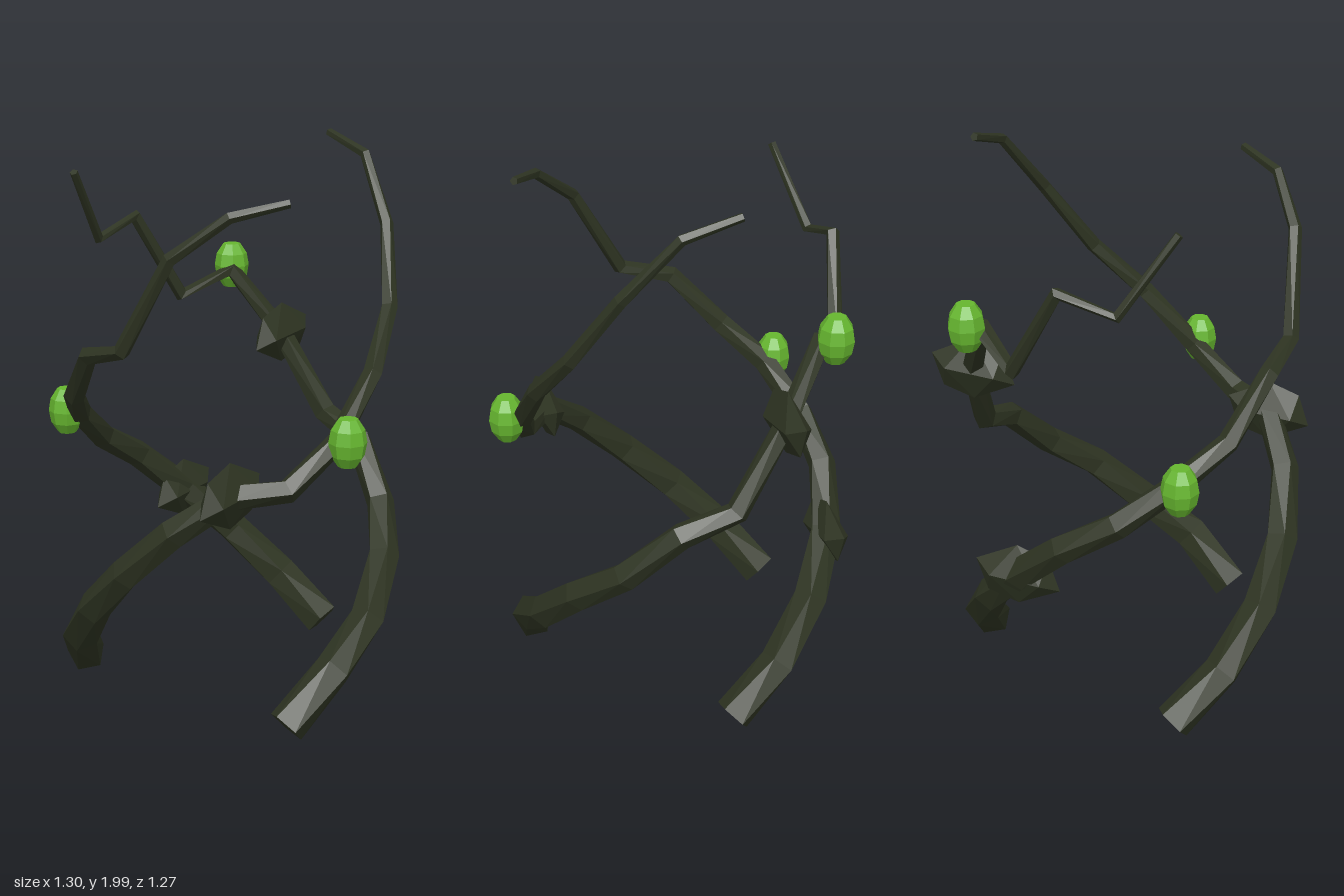
import * as THREE from 'three';
import { ConvexGeometry } from 'three/addons/geometries/ConvexGeometry.js';

const SIDES = 5;
const CENTRE = new THREE.Vector3(-0.03, 0, -0.03);
const RING = 0.56;

// Each vine climbs in 20 degree steps round a ring; heights are per step
const VINES = [
  { name: 'firstVine', start: 0, knot: 3, bud: 6,
    heights: [0.06, 0.22, 0.4, 0.58, 0.75, 0.87, 1.01, 1.13, 1.32, 1.37, 1.7, 1.84, 1.88] },
  { name: 'secondVine', start: 120, knot: 5, bud: 7,
    heights: [0.06, 0.22, 0.4, 0.585, 0.77, 0.91, 0.92, 1.06, 1.26, 1.45, 1.71, 1.93, 1.99] },
  { name: 'thirdVine', start: 240, knot: 7, bud: 8,
    heights: [0.06, 0.23, 0.36, 0.53, 0.67, 0.85, 0.92, 1.21, 1.45, 1.36, 1.68, 1.62, 1.89] },
];

const outward = (deg) => {
  const a = THREE.MathUtils.degToRad(deg);
  return new THREE.Vector3(Math.cos(a), 0, -Math.sin(a));
};

function flat(geometry) {
  const g = geometry.index ? geometry.toNonIndexed() : geometry;
  g.computeVertexNormals();
  return g;
}

// Tapered five-sided stem lofted through the path, with closed ends
function stemGeometry(points, r0, r1) {
  const pos = [], index = [], last = points.length - 1;
  points.forEach((p, i) => {
    const before = points[Math.max(i - 1, 0)], after = points[Math.min(i + 1, last)];
    const t = after.clone().sub(before).normalize();
    const n = p.clone().sub(CENTRE).setY(0);
    n.addScaledVector(t, -n.dot(t)).normalize();
    const b = t.clone().cross(n);
    const r = THREE.MathUtils.lerp(r0, r1, i / last);
    for (let j = 0; j < SIDES; j++) {
      const a = (j / SIDES) * Math.PI * 2;
      const v = p.clone().addScaledVector(n, r * Math.cos(a)).addScaledVector(b, r * Math.sin(a));
      pos.push(v.x, v.y, v.z);
    }
  });
  for (let i = 0; i < last; i++) {
    for (let j = 0; j < SIDES; j++) {
      const k = (j + 1) % SIDES;
      const a = i * SIDES + j, b = i * SIDES + k, c = b + SIDES, d = a + SIDES;
      index.push(a, b, d, b, c, d);
    }
  }
  const end = last * SIDES;
  for (let j = 1; j < SIDES - 1; j++) {
    index.push(0, j + 1, j, end, end + j, end + j + 1);
  }
  const g = new THREE.BufferGeometry();
  g.setAttribute('position', new THREE.Float32BufferAttribute(pos, 3));
  g.setIndex(index);
  return flat(g);
}

// Flattened, faceted knot: skewed hexagon with a ridge front and back
function knotGeometry() {
  const rim = [[-0.152, -0.045], [-0.112, 0.075], [0, 0.118], [0.152, 0.045], [0.112, -0.075], [0, -0.114]];
  const pts = rim.map(([x, y]) => new THREE.Vector3(x, y, 0));
  for (const s of [-1, 1]) {
    pts.push(new THREE.Vector3(-0.09, -0.01, s * 0.048), new THREE.Vector3(0.09, 0.01, s * 0.048));
  }
  return flat(new ConvexGeometry(pts));
}

// Eight-sided bud with blunt ends
function budGeometry() {
  const profile = [[0, -0.083], [0.033, -0.083], [0.058, -0.045], [0.066, 0],
    [0.058, 0.045], [0.033, 0.083], [0, 0.083]];
  return flat(new THREE.LatheGeometry(profile.map(([x, y]) => new THREE.Vector2(x, y)), 8));
}

export function createModel() {
  const bark = new THREE.MeshStandardMaterial({ color: 0x2e3422 });
  bark.name = 'darkBark';
  const green = new THREE.MeshStandardMaterial({ color: 0x66b62f });
  green.name = 'budGreen';
  const knotShape = knotGeometry();
  const budShape = budGeometry();

  const model = new THREE.Group();
  model.name = 'twistedVines';
  for (const { name, start, knot, bud, heights } of VINES) {
    const vine = new THREE.Group();
    vine.name = name;
    const points = heights.map((y, k) =>
      outward(start + k * 20).multiplyScalar(RING).add(CENTRE).setY(y));

    const add = (part, geometry, material, position) => {
      const mesh = new THREE.Mesh(geometry, material);
      mesh.name = part;
      if (position) mesh.position.copy(position);
      vine.add(mesh);
    };
    add('stem', stemGeometry(points, 0.072, 0.015), bark);
    add('knot', knotShape, bark, points[knot]);
    // Buds sit slightly proud of the stem
    const budAt = points[bud].clone().addScaledVector(outward(start + bud * 20), 0.05);
    budAt.y += 0.01;
    add('bud', budShape, green, budAt);
    model.add(vine);
  }
  return model;
}
